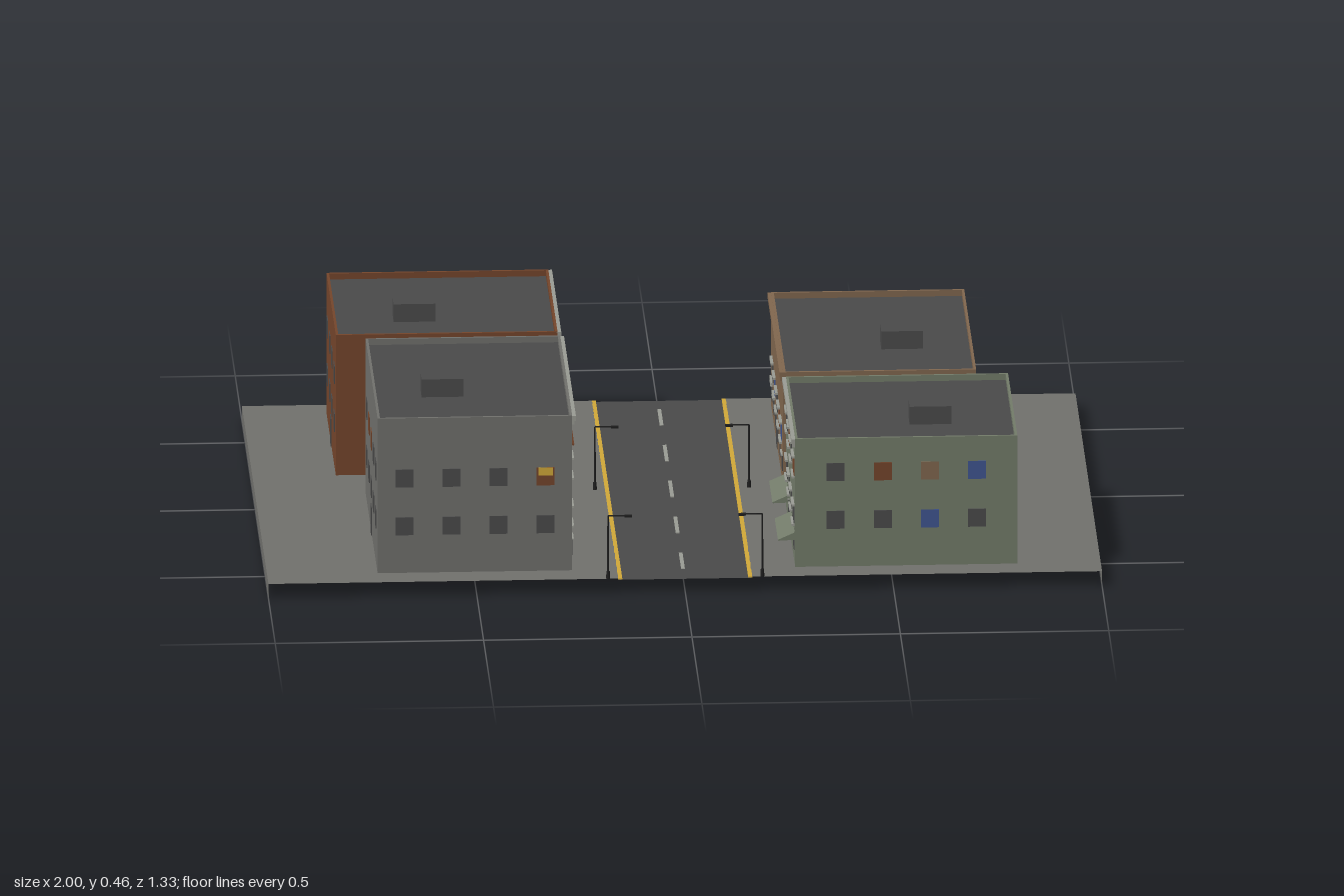
import * as THREE from 'three';

const mat = (name, color, double) => {
  const m = new THREE.MeshStandardMaterial({ color });
  m.name = name;
  if (double) m.side = THREE.DoubleSide;
  return m;
};
const M = {
  stone: mat('stone grey', 0x70706c, true),
  dark: mat('asphalt grey', 0x4a4a4a, true),
  green: mat('sage green', 0x727b69, true),
  tan: mat('tan brick', 0x80664e, true),
  rust: mat('rust brick', 0x74452b, true),
  blue: mat('blue', 0x3f5590),
  yellow: mat('yellow', 0xd0a838),
  pale: mat('pale trim', 0x999b93),
  black: mat('black iron', 0x1e1e1e),
};
const WINDOW = { d: M.dark, b: M.blue, r: M.rust, t: M.tan, c: M.rust };
const G = 0.037; // pavement height
const WALL = 0.006;
const HALF_Z = 0.665;
const ROWS = [0.155, 0.276]; // window centre heights

function add(parent, name, geo, material, x = 0, y = 0, z = 0) {
  const m = new THREE.Mesh(geo, material);
  m.name = name;
  m.position.set(x, y, z);
  parent.add(m);
  return m;
}
const box = (parent, name, material, w, h, d, x, y, z) =>
  add(parent, name, new THREE.BoxGeometry(w, h, d), material, x, y, z);

// Rectangle in x and z; the shape's y is -z so it can be laid flat
function rect(Type, x0, x1, z0, z1) {
  const p = new Type();
  p.moveTo(x0, -z1);
  p.lineTo(x1, -z1);
  p.lineTo(x1, -z0);
  p.lineTo(x0, -z0);
  p.closePath();
  return p;
}

// Group on one side of a building: x runs along the wall, z points outward
function face(parent, b, side) {
  const g = new THREE.Group();
  const cx = (b.x0 + b.x1) / 2, cz = (b.z0 + b.z1) / 2;
  const [x, z, turn] = {
    front: [cx, b.z1, 0],
    left: [b.x1, cz, Math.PI / 2],
    back: [cx, b.z0, Math.PI],
    right: [b.x0, cz, -Math.PI / 2],
  }[side];
  g.name = side + 'Face';
  g.position.set(x, 0, z);
  g.rotation.y = turn;
  parent.add(g);
  return g;
}

// One row of windows; each letter of the code is a pane colour
function windowRow(g, code, y, pitch, w, street) {
  [...code].forEach((c, i) => {
    const x = (i - (code.length - 1) / 2) * pitch;
    const t = street ? 0.009 : 0.003, z = street ? -WALL / 2 : 0.0005;
    box(g, 'window', WINDOW[c], w, 0.045, t, x, y, z);
    if (c === 'c') box(g, 'curtain', M.yellow, w * 0.8, 0.02, 0.002, x, y + 0.0125, z + t / 2);
    if (street) for (const s of [-1, 1])
      box(g, s < 0 ? 'windowSill' : 'lintel', M.pale, w + 0.006, 0.005, 0.008, x, y + s * 0.025, 0.003);
  });
}

// Shop windows, door, cornice and awnings on the road side
function shopFront(g, b, length) {
  const panes = length > 0.5 ? [0.0515, 0.1545, 0.2575] : [0.08, 0.18];
  for (const s of [-1, 1]) {
    for (const p of panes) {
      box(g, 'shopWindow', M.dark, 0.039, 0.04, 0.009, s * p, 0.088, -WALL / 2);
      box(g, 'shopLintel', M.pale, 0.042, 0.003, 0.006, s * p, 0.109, 0.002);
    }
    if (b.awnings) {
      const a = box(g, 'awning', b.wall, 0.16, 0.004, 0.044, s * 0.14, 0.109, 0.02);
      a.rotation.x = 0.42;
      for (const e of [-1, 1]) {
        const cheek = new THREE.Shape([[0, 0.117], [0, 0.1], [-0.04, 0.1]].map(p => new THREE.Vector2(...p)));
        add(g, 'awningCheek', new THREE.ShapeGeometry(cheek), b.wall, s * 0.14 + e * 0.079, 0, 0).rotation.y = Math.PI / 2;
      }
    }
  }
  box(g, 'shopDoor', M.dark, 0.04, 0.07, 0.009, 0, G + 0.035, -WALL / 2);
  box(g, 'cornice', b.trim, length, 0.012, 0.012, 0, b.h - 0.007, 0.003);
  const n = Math.round(length / 0.05);
  for (let i = 0; i < n; i++)
    box(g, 'corniceBracket', b.trim, 0.008, 0.016, 0.007, (i + 0.5 - n / 2) * length / n, b.h - 0.021, 0.003);
}

function building(root, b) {
  const g = new THREE.Group();
  g.name = b.name;
  root.add(g);

  // Hollow walls that rise past the roof as a parapet
  const ring = rect(THREE.Shape, b.x0, b.x1, b.z0, b.z1);
  ring.holes.push(rect(THREE.Path, b.x0 + WALL, b.x1 - WALL, b.z0 + WALL, b.z1 - WALL));
  const walls = new THREE.ExtrudeGeometry(ring, { depth: b.h - G, bevelEnabled: false });
  add(g, 'walls', walls.rotateX(-Math.PI / 2), b.wall, 0, G, 0);
  const roof = new THREE.ShapeGeometry(rect(THREE.Shape, b.x0, b.x1, b.z0, b.z1).clone());
  roof.rotateX(-Math.PI / 2);
  const cx = (b.x0 + b.x1) / 2, cz = (b.z0 + b.z1) / 2;
  roof.translate(-cx, 0, -cz).scale(0.98, 1, 0.98);
  add(g, 'roof', roof, M.dark, cx, b.h - 0.015, cz);
  box(g, 'roofUnit', M.dark, 0.1, 0.045, 0.067, b.unit[0], b.h + 0.0085, b.unit[1]);

  // Faces
  for (const [side, rows] of Object.entries(b.faces)) {
    const f = face(g, b, side), street = side === b.street;
    rows.forEach((code, i) => windowRow(f, code, ROWS[i], street ? 0.11 : 0.113, street ? 0.054 : 0.043, street));
    if (street) shopFront(f, b, b.z1 - b.z0);
    else if (side === 'left' || side === 'right')
      box(f, 'sideDoor', M.dark, 0.035, 0.07, 0.003, 0, G + 0.035, 0.0005);
  }
}

// Lamp post with an arm reaching over the road
function streetLamp(root, side, z) {
  const g = new THREE.Group();
  g.name = 'streetLamp';
  g.position.set(side * 0.185, G, z);
  root.add(g);
  add(g, 'lampBase', new THREE.CylinderGeometry(0.004, 0.005, 0.018, 8), M.black, 0, 0.009, 0);
  add(g, 'lampPole', new THREE.CylinderGeometry(0.002, 0.0025, 0.158, 8), M.black, 0, 0.079, 0);
  box(g, 'lampArm', M.black, 0.05, 0.003, 0.003, -side * 0.025, 0.158, 0);
  box(g, 'lampHead', M.black, 0.018, 0.005, 0.008, -side * 0.048, 0.157, 0);
}

export function createModel() {
  const root = new THREE.Group();
  root.name = 'cityBlock';

  const buildings = [
    { name: 'rustBuilding', wall: M.rust, trim: M.pale, x0: -0.8, x1: -0.268, z0: -0.603, z1: -0.138, h: 0.392,
      unit: [-0.605, -0.302], street: 'left', awnings: true,
      faces: { left: ['ddbd', 'dbdd'], back: ['dbdd', 'dddd'], right: ['dddd', 'dddd'] } },
    { name: 'greyBuilding', wall: M.stone, trim: M.pale, x0: -0.735, x1: -0.268, z0: -0.003, z1: 0.597, h: 0.428,
      unit: [-0.57, 0.368], street: 'left',
      faces: { left: ['ddddd', 'ddrdd'], front: ['dddd', 'dddc'], right: ['ddddd', 'drrdd'] } },
    { name: 'greenBuilding', wall: M.green, trim: M.pale, x0: 0.267, x1: 0.8, z0: 0.132, z1: 0.598, h: 0.361,
      unit: [0.598, 0.43], street: 'right', awnings: true,
      faces: { right: ['dddd', 'drdr'], front: ['ddbd', 'drtb'], left: ['dddd', 'dddd'], back: ['dddd', 'dddd'] } },
    { name: 'tanBuilding', wall: M.tan, trim: M.tan, x0: 0.267, x1: 0.73, z0: -0.603, z1: -0.003, h: 0.326,
      unit: [0.562, -0.238], street: 'right',
      faces: { right: ['dbdrb'], left: ['dddbc'], back: ['dddd'] } },
  ];
  buildings.forEach(b => building(root, b));

  // Pavements, open beneath each building, with outer edge walls
  for (const s of [-1, 1]) {
    const pave = rect(THREE.Shape, s < 0 ? -1 : 0.16, s < 0 ? -0.16 : 1, -HALF_Z, HALF_Z);
    for (const b of buildings) if (b.x0 * s > 0)
      pave.holes.push(rect(THREE.Path, b.x0, b.x1, b.z0, b.z1));
    add(root, 'pavement', new THREE.ShapeGeometry(pave).rotateX(-Math.PI / 2), M.stone, 0, G, 0);
    const edge = new THREE.PlaneGeometry(HALF_Z * 2, G).rotateY(s * Math.PI / 2);
    add(root, 'pavementEdge', edge, M.stone, s, G / 2, 0);
  }

  // Road and markings
  const road = new THREE.PlaneGeometry(0.32, HALF_Z * 2).rotateX(-Math.PI / 2);
  add(root, 'road', road, M.dark, 0, G - 0.003, 0);
  for (const s of [-1, 1])
    box(root, 'kerbLine', M.yellow, 0.01, 0.002, HALF_Z * 2, s * 0.156, G - 0.001, 0);
  for (let i = -2; i <= 2; i++)
    box(root, 'laneDash', M.pale, 0.009, 0.002, 0.12, -0.002, G - 0.002, i * 0.268 - 0.003);

  for (const s of [-1, 1]) for (const z of [-0.003, 0.662]) streetLamp(root, s, z);
  return root;
}
